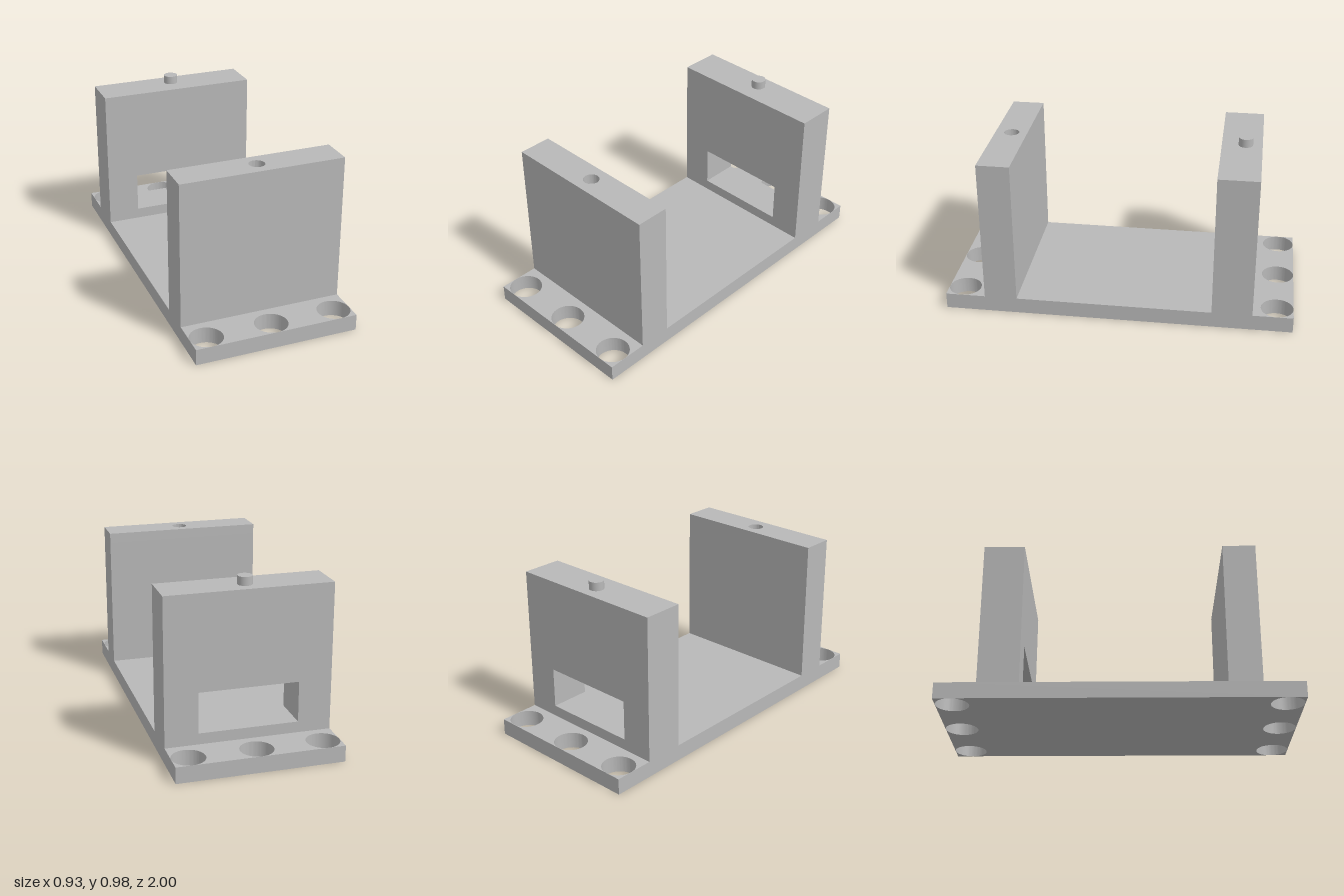
import * as THREE from 'three';
import { toCreasedNormals } from 'three/addons/utils/BufferGeometryUtils.js';

const WIDTH = 0.93, BASE_H = 0.093, TOP = 0.93;

function rectangle(x0, y0, x1, y1, Type = THREE.Shape) {
  const s = new Type();
  s.moveTo(x0, y0);
  s.lineTo(x1, y0);
  s.lineTo(x1, y1);
  s.lineTo(x0, y1);
  s.closePath();
  return s;
}

function circleHole(x, y, r) {
  const p = new THREE.Path();
  p.absarc(x, y, r, 0, Math.PI * 2, true);
  return p;
}

function extrude(shape, depth) {
  const g = new THREE.ExtrudeGeometry(shape, { depth, bevelEnabled: false, curveSegments: 40 });
  return toCreasedNormals(g, Math.PI / 6);
}

// Horizontal plate: shape y runs towards -z, thickness runs up from y = bottom
function plate(shape, bottom, thickness) {
  return extrude(shape, thickness).rotateX(-Math.PI / 2).translate(0, bottom, 0);
}

export function createModel() {
  const group = new THREE.Group();
  group.name = 'bracket';
  const grey = new THREE.MeshStandardMaterial({ color: 0xb8b8b8 });
  grey.name = 'grey';
  const add = (name, geometry) => {
    const mesh = new THREE.Mesh(geometry, grey);
    mesh.name = name;
    group.add(mesh);
  };
  const half = WIDTH / 2;

  // Base plate with three mounting holes at each end
  const base = rectangle(-half, -1, half, 1);
  for (const z of [-0.907, 0.907]) {
    for (const x of [-0.372, 0, 0.372]) base.holes.push(circleHole(x, z, 0.0925));
  }
  add('basePlate', plate(base, 0, BASE_H));

  // Back wall with a rectangular window
  const back = rectangle(-half, BASE_H, half, TOP);
  back.holes.push(rectangle(-0.28, 0.156, 0.28, 0.388, THREE.Path));
  add('backWall', extrude(back, 0.23).translate(0, 0, -0.77));

  // Locating pin on the back wall
  add('locatingPin', new THREE.CylinderGeometry(0.041, 0.041, 0.048, 40).translate(0, TOP + 0.024, -0.675));

  // Front wall, topped by a layer holding the blind socket
  const z0 = 0.583, z1 = 0.77, socketDepth = 0.06;
  const bodyH = TOP - socketDepth - BASE_H;
  add('frontWall', new THREE.BoxGeometry(WIDTH, bodyH, z1 - z0)
    .translate(0, BASE_H + bodyH / 2, (z0 + z1) / 2));
  const cap = rectangle(-half, -z1, half, -z0);
  cap.holes.push(circleHole(0, -0.675, 0.044));
  add('frontWallSocket', plate(cap, TOP - socketDepth, socketDepth));

  return group;
}
